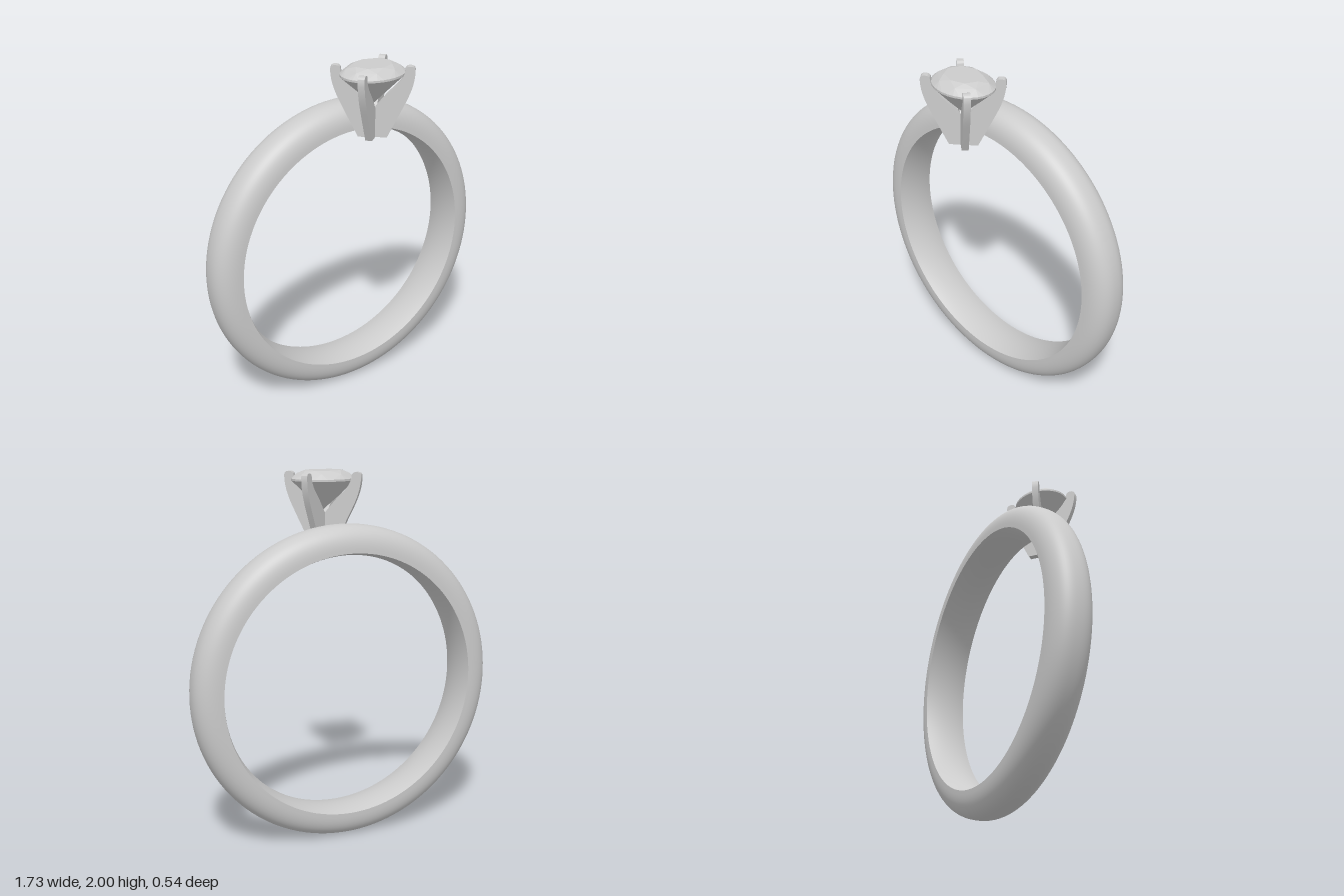
import * as THREE from 'three';
import { toCreasedNormals } from 'three/addons/utils/BufferGeometryUtils.js';
import { ConvexGeometry } from 'three/addons/geometries/ConvexGeometry.js';

const SETTING_Z = 0.12;

const makeMaterial = (options = {}) => new THREE.MeshStandardMaterial({ color: 0xcccccc, ...options });

// Band: rounded outside, slightly bulging inside, turned about the z axis
function createBand() {
  const halfWidth = 0.118, edge = 0.723, outer = 0.867, inner = 0.703;
  const profile = [];
  const steps = 28;
  for (let i = 0; i <= steps; i++) {
    const t = -Math.PI / 2 + (i / steps) * Math.PI;
    const s = Math.sin(t), c = Math.max(0, Math.cos(t));
    profile.push(new THREE.Vector2(
      edge + (outer - edge) * Math.pow(c, 0.83),
      halfWidth * Math.sign(s) * Math.pow(Math.abs(s), 0.83)));
  }
  for (let i = 1; i <= 12; i++) {
    const u = 1 - (i / 12) * 2;
    profile.push(new THREE.Vector2(inner + (edge - inner) * u * u, halfWidth * u));
  }
  const geometry = new THREE.LatheGeometry(profile, 128);
  geometry.rotateX(Math.PI / 2);
  const band = new THREE.Mesh(toCreasedNormals(geometry, 0.7), makeMaterial());
  band.name = 'band';
  band.position.set(0, 0.867, -0.153);
  return band;
}

// Prong: curved claw drawn in the radius/height plane and extruded
function createProngGeometry() {
  const width = 0.036;
  const shape = new THREE.Shape();
  shape.moveTo(0, 1.607);
  shape.lineTo(0.076, 1.607);
  shape.lineTo(0.142, 1.74);
  shape.bezierCurveTo(0.175, 1.81, 0.217, 1.88, 0.218, 1.97);
  shape.quadraticCurveTo(0.217, 1.992, 0.192, 1.992);
  shape.quadraticCurveTo(0.167, 1.992, 0.165, 1.97);
  shape.bezierCurveTo(0.162, 1.92, 0.115, 1.885, 0.078, 1.845);
  shape.quadraticCurveTo(0.03, 1.79, 0, 1.75);
  const geometry = new THREE.ExtrudeGeometry(shape, { depth: width, bevelEnabled: false, curveSegments: 10 });
  geometry.translate(0, 0, -width / 2);
  return toCreasedNormals(geometry, 0.6);
}

// Stone: faceted oval hull of table, crown, girdle, pavilion and culet
function createStone() {
  const points = [];
  const ring = (count, scale, y, offset = 0) => {
    for (let i = 0; i < count; i++) {
      const a = ((i + offset) / count) * Math.PI * 2;
      points.push(new THREE.Vector3(0.18 * scale * Math.cos(a), y, 0.148 * scale * Math.sin(a)));
    }
  };
  ring(8, 0.6, 2.0);
  ring(8, 0.82, 1.984, 0.5);
  ring(32, 1, 1.956);
  ring(32, 1, 1.945);
  ring(8, 0.5, 1.862, 0.5);
  points.push(new THREE.Vector3(0, 1.785, 0));
  const stone = new THREE.Mesh(new ConvexGeometry(points), makeMaterial({ flatShading: true }));
  stone.name = 'stone';
  return stone;
}

export function createModel() {
  const model = new THREE.Group();
  model.name = 'ring';
  model.add(createBand());

  // Setting: stone held by four prongs, standing in front of the band
  const setting = new THREE.Group();
  setting.name = 'setting';
  setting.position.z = SETTING_Z;
  setting.add(createStone());
  const prongGeometry = createProngGeometry();
  const metal = makeMaterial();
  const spread = THREE.MathUtils.degToRad(39);
  [spread, -spread, Math.PI - spread, Math.PI + spread].forEach((angle, i) => {
    const prong = new THREE.Mesh(prongGeometry, metal);
    prong.name = `prong${i + 1}`;
    prong.rotation.y = angle;
    setting.add(prong);
  });
  model.add(setting);
  return model;
}
